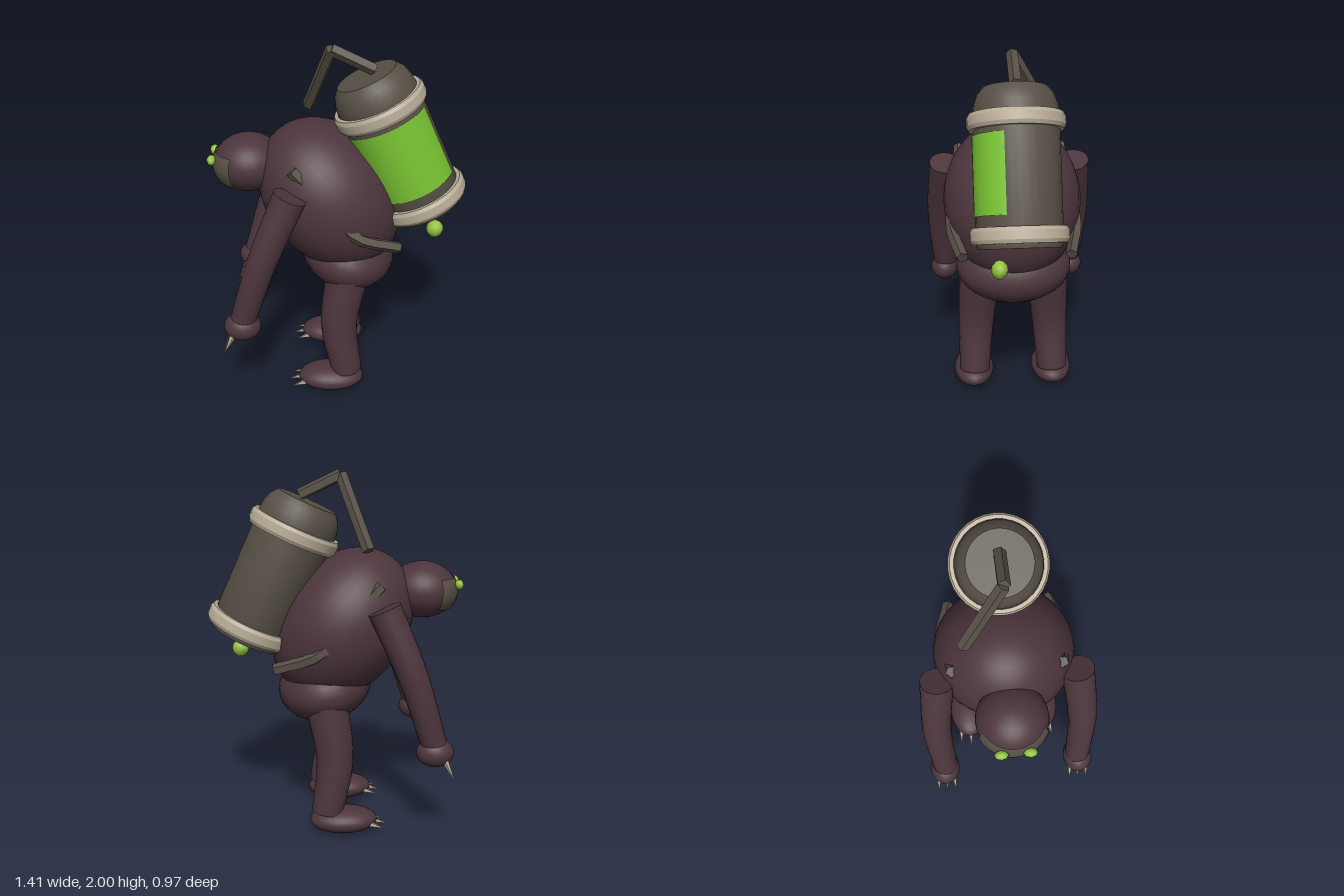
import * as THREE from 'three';
import { mergeGeometries, toCreasedNormals } from 'three/addons/utils/BufferGeometryUtils.js';

const mat = (name, color, side = THREE.FrontSide) => {
  const m = new THREE.MeshStandardMaterial({ color, side });
  m.name = name;
  return m;
};
const V = (x, y, z) => new THREE.Vector3(x, y, z);

export function createModel() {
  const skin = mat('dark plum skin', 0x4c353c);
  const metal = mat('dull metal', 0x575046, THREE.DoubleSide);
  const cream = mat('cream band', 0xb8ac97);
  const claw = mat('claw bone', 0xc2b59c);
  const glass = mat('green glass', 0x78c232, THREE.DoubleSide);
  const lime = mat('lime glow', 0x93c440);

  const model = new THREE.Group();
  const add = (name, geo, material, parent = model) => {
    const mesh = new THREE.Mesh(geo, material);
    mesh.name = name;
    parent.add(mesh);
    return mesh;
  };
  const blob = (name, pos, size, material, tilt = 0, w = 28, h = 18) => {
    const mesh = add(name, new THREE.SphereGeometry(1, w, h), material);
    mesh.position.set(...pos);
    mesh.scale.set(...size);
    mesh.rotation.z = tilt;
    return mesh;
  };

  // Tapered tube along a smooth path, with flat end caps
  const limb = (points, r0, r1, sides = 20, segs = 14) => {
    const curve = new THREE.CatmullRomCurve3(points);
    const tube = new THREE.TubeGeometry(curve, segs, 1, sides);
    const p = tube.attributes.position;
    const v = V();
    for (let i = 0; i < p.count; i++) {
      const t = Math.floor(i / (sides + 1)) / segs;
      const c = curve.getPointAt(t);
      v.fromBufferAttribute(p, i).sub(c).multiplyScalar(r0 + (r1 - r0) * t).add(c);
      p.setXYZ(i, v.x, v.y, v.z);
    }
    const cap = (t, r, sign) => {
      const g = new THREE.CircleGeometry(r, sides);
      const dir = curve.getTangentAt(t).multiplyScalar(sign);
      g.applyQuaternion(new THREE.Quaternion().setFromUnitVectors(V(0, 0, 1), dir));
      const c = curve.getPointAt(t);
      return g.translate(c.x, c.y, c.z);
    };
    return mergeGeometries([tube, cap(0, r0, -1), cap(1, r1, 1)]);
  };

  // Straight bar between two points
  const bar = (name, a, b, r, sides, material, tip = r) => {
    const d = b.clone().sub(a);
    const geo = new THREE.CylinderGeometry(tip, r, d.length(), sides);
    const mesh = add(name, toCreasedNormals(geo, 0.6), material);
    mesh.position.copy(a).addScaledVector(d, 0.5);
    mesh.quaternion.setFromUnitVectors(V(0, 1, 0), d.normalize());
    return mesh;
  };

  // Trunk and head, facing -x
  blob('torso', [-0.04, 1.155, 0], [0.355, 0.46, 0.385], skin, 0.64, 36, 24);
  blob('hips', [0.06, 0.8, 0], [0.265, 0.19, 0.325], skin, -0.2);
  blob('head', [-0.485, 1.345, 0], [0.19, 0.157, 0.19], skin);

  // Curved visor plate with two glowing eyes
  const visor = add('visor', new THREE.SphereGeometry(1, 16, 8, -1.12, 2.24, 1.06, 1.08), metal);
  visor.position.set(-0.485, 1.345, 0);
  visor.scale.set(0.198, 0.166, 0.198);
  visor.rotation.z = 0.06;

  for (const s of [1, -1]) {
    blob('eye', [-0.677, 1.38, 0.073 * s], [0.026, 0.028, 0.037], lime, 0, 8, 6);

    // Arm, hand and fingers
    add('arm', limb([V(-0.238, 1.31, 0.37 * s), V(-0.39, 0.95, 0.405 * s), V(-0.515, 0.56, 0.39 * s)],
      0.09, 0.07), skin);
    blob('hand', [-0.517, 0.53, 0.395 * s], [0.102, 0.08, 0.085], skin);
    for (const k of [-1, 0, 1]) {
      const z = 0.395 * s + k * 0.046;
      bar('handClaw', V(-0.565, 0.5, z), V(-0.62, 0.38, z + k * 0.004), 0.02, 6, claw, 0.001);
    }

    // Leg, foot and toes
    add('leg', limb([V(0.06, 0.76, 0.19 * s), V(0.012, 0.42, 0.215 * s), V(0.055, 0.12, 0.23 * s)],
      0.12, 0.088), skin);
    blob('foot', [-0.036, 0.073, 0.233 * s], [0.188, 0.072, 0.118], skin);
    for (const k of [-1, 0, 1]) {
      const z = 0.233 * s + k * 0.055;
      const back = Math.abs(k) * 0.02;
      bar('toeClaw', V(-0.19 + back, 0.062, z), V(-0.278 + back, 0.04, z + k * 0.012), 0.02, 6, claw, 0.001);
    }

    // Harness strap, sunk into the torso between shoulder and waist
    const strap = limb([V(-0.23, 1.415, 0.285 * s), V(-0.08, 1.25, 0.305 * s),
      V(0.1, 1.06, 0.345 * s), V(0.335, 0.97, 0.29 * s)], 0.033, 0.033, 5, 10);
    add('harnessStrap', toCreasedNormals(strap, 0.6), metal);
  }

  // Tilted canister on the back, local origin at the upper band
  const tank = new THREE.Group();
  tank.name = 'canister';
  tank.position.set(0.225, 1.67, 0);
  tank.rotation.z = 0.426;
  model.add(tank);
  const lathe = (name, pts, material) => add(name, toCreasedNormals(
    new THREE.LatheGeometry(pts.map(([r, y]) => new THREE.Vector2(r, y)), 32), 0.5), material, tank);
  lathe('canisterBody', [[0, -0.645], [0.215, -0.645], [0.225, -0.62], [0.225, 0.04],
    [0.218, 0.09], [0.2, 0.14], [0.168, 0.178], [0, 0.178]], metal);
  for (const y of [0, -0.578]) {
    lathe('canisterBand', [[0.22, y - 0.042], [0.245, y - 0.042], [0.256, y - 0.022],
      [0.256, y + 0.022], [0.245, y + 0.042], [0.22, y + 0.042]], cream);
  }
  const pane = add('canisterWindow',
    new THREE.CylinderGeometry(0.23, 0.23, 0.41, 20, 1, true, -1.23, 2.46), glass, tank);
  pane.position.y = -0.275;

  // Bent pipe from the canister lid over the shoulder
  const elbow = V(-0.03, 1.972, 0);
  bar('pipeTop', V(0.195, 1.865, 0), elbow, 0.034, 5, metal);
  bar('pipeDrop', elbow, V(-0.165, 1.59, -0.215), 0.034, 5, metal);

  // Glowing drop below the canister
  blob('drop', [0.54, 0.99, 0.108], [0.049, 0.05, 0.045], lime, 0, 8, 6);

  return model;
}
